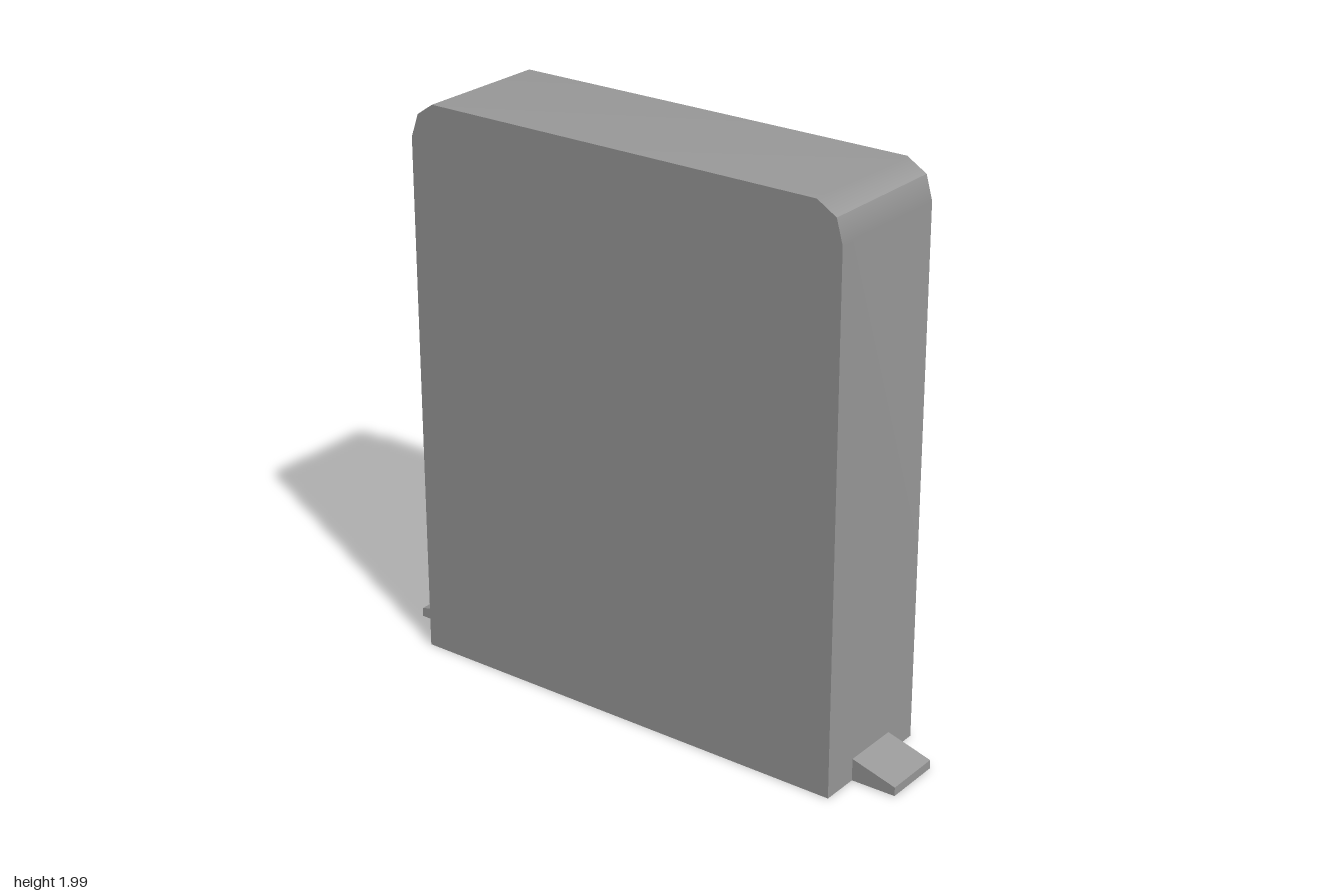
import * as THREE from 'three';
import { mergeGeometries } from 'three/addons/utils/BufferGeometryUtils.js';

const material = new THREE.MeshStandardMaterial({ color: 0x9a9a9a });

const outline = (points) => new THREE.Shape(points.map(([x, y]) => new THREE.Vector2(x, y)));
const mirror = (points) => points.map(([x, y]) => [-x, y]);

function part(name, geometry) {
  const mesh = new THREE.Mesh(geometry, material);
  mesh.name = name;
  return mesh;
}

// Wall along a counterclockwise path, smooth within itself
function wall(path, zBack, zFront) {
  const geometry = new THREE.PlaneGeometry(1, 1, path.length - 1, 1);
  const position = geometry.attributes.position;
  for (let i = 0; i < position.count; i++) {
    const [x, y] = path[i % path.length];
    position.setXYZ(i, x, y, i < path.length ? zFront : zBack);
  }
  geometry.computeVertexNormals();
  return geometry;
}

// Case: flat front and back, walls creased only at the middle of each upper corner
function caseGeometry(zBack, zFront) {
  const right = [[0.838, 0], [0.836, 1.865], [0.813, 1.947]];
  const top = [[0.813, 1.947], [0.742, 1.99], [-0.742, 1.99], [-0.805, 1.947]];
  const left = [[-0.805, 1.947], [-0.834, 1.865], [-0.839, 0]];
  const bottom = [[-0.839, 0], [0.838, 0]];
  const loop = [...right, ...top.slice(1), ...left.slice(1)];
  const front = new THREE.ShapeGeometry(outline(loop)).translate(0, 0, zFront);
  const back = new THREE.ShapeGeometry(outline(mirror(loop))).rotateY(Math.PI).translate(0, 0, zBack);
  return mergeGeometries([front, back, ...[right, top, left, bottom].map((path) => wall(path, zBack, zFront))]);
}

// Wedge-shaped foot
function footGeometry(points) {
  const geometry = new THREE.ExtrudeGeometry(outline(points), { depth: 0.21, bevelEnabled: false });
  return geometry.translate(0, 0, -0.075);
}

export function createModel() {
  const group = new THREE.Group();
  group.name = 'panelCase';

  group.add(part('caseBody', caseGeometry(-0.213, 0.272)));

  // Raised cover on the back
  const cover = part('backCover', new THREE.BoxGeometry(1.488, 1.785, 0.062));
  cover.position.set(0.002, 0.9725, -0.243);
  group.add(cover);

  // Feet at both sides
  const wedge = [[0.835, 0], [1, 0.002], [1, 0.033], [0.835, 0.08]];
  group.add(part('leftFoot', footGeometry(wedge)));
  group.add(part('rightFoot', footGeometry(mirror(wedge))));

  return group;
}
